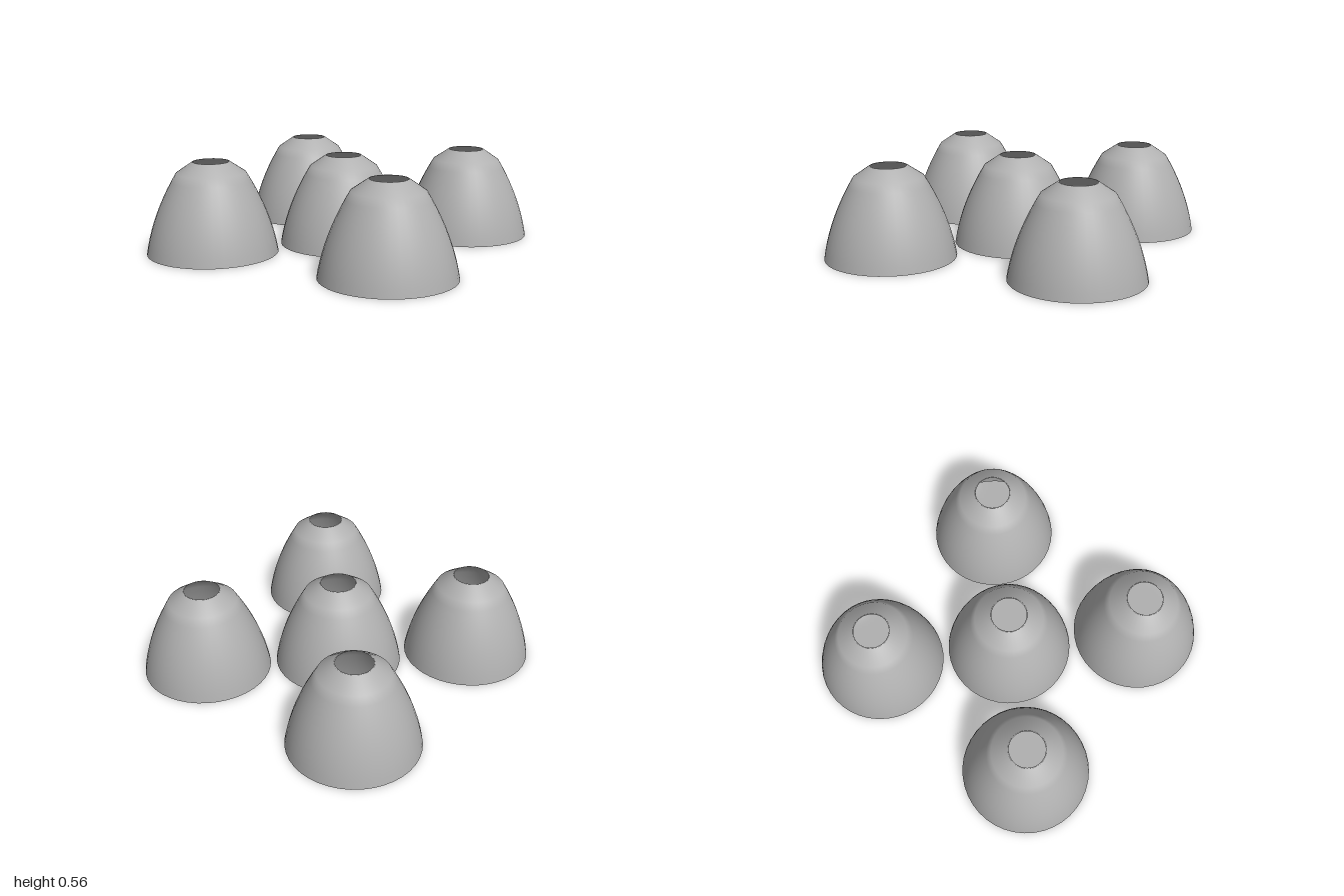
import * as THREE from 'three';

export function createModel() {
  const group = new THREE.Group();
  group.name = 'nozzleCluster';
  const metal = new THREE.MeshStandardMaterial({ color: 0xb0b0b0 });
  metal.name = 'grey metal';

  // Bell profile: parabolic skirt, then a steep shoulder up to the open throat
  const wall = 0.005, sides = 40;
  const outer = [];
  for (let i = 0; i <= 10; i++) {
    const y = 0.497 * i / 10;
    outer.push(new THREE.Vector2(0.403 - 0.158 * y - 0.45 * y * y, y));
  }
  outer.push(new THREE.Vector2(0.113, 0.565));
  const inner = outer.map(p => new THREE.Vector2(p.x - wall, p.y)).reverse();
  const last = outer.length - 1;

  // Separate lathes keep the rim edges crisp
  const parts = {
    outerShell: outer,
    innerShell: inner,
    throatRim: [outer[last], inner[0]],
    exitRim: [inner[last], outer[0]],
  };
  const geometries = Object.entries(parts).map(([name, points]) =>
    [name, new THREE.LatheGeometry(points, sides)]);

  // One bell in the centre and four at the corners
  const d = 0.597;
  for (const [x, z] of [[0, 0], [-d, -d], [d, -d], [-d, d], [d, d]]) {
    const nozzle = new THREE.Group();
    nozzle.name = x === 0 ? 'centreNozzle' : 'cornerNozzle';
    nozzle.position.set(x, 0, z);
    for (const [name, geometry] of geometries) {
      const mesh = new THREE.Mesh(geometry, metal);
      mesh.name = name;
      nozzle.add(mesh);
    }
    group.add(nozzle);
  }
  return group;
}
